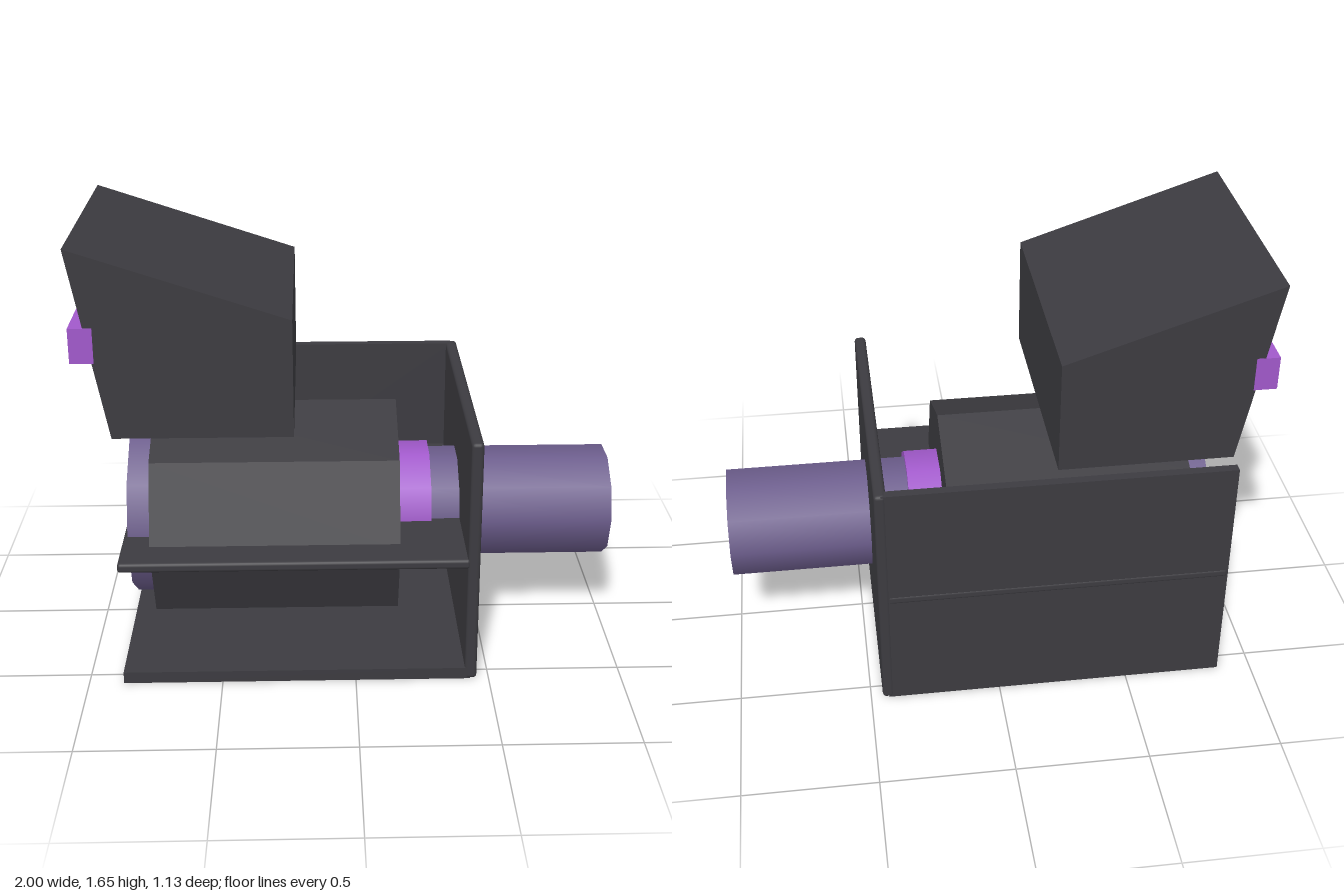
import * as THREE from 'three';
import { RoundedBoxGeometry } from 'three/addons/geometries/RoundedBoxGeometry.js';

const material = (name, color) => {
  const m = new THREE.MeshStandardMaterial({ color });
  m.name = name;
  return m;
};

export function createModel() {
  const group = new THREE.Group();
  const dark = material('charcoal', 0x3c3b40);
  const lavender = material('lavender', 0x6c5d8c);
  const purple = material('purple', 0xa159cb);
  const axisY = 0.48;

  const add = (name, geometry, mat) => {
    const mesh = new THREE.Mesh(geometry, mat);
    mesh.name = name;
    group.add(mesh);
    return mesh;
  };

  // Box given by its lower and upper corners, optionally with softened edges
  const box = (name, [x0, y0, z0], [x1, y1, z1], mat, radius = 0) => {
    const size = [x1 - x0, y1 - y0, z1 - z0];
    const geometry = radius
      ? new RoundedBoxGeometry(...size, 2, radius)
      : new THREE.BoxGeometry(...size);
    geometry.translate((x0 + x1) / 2, (y0 + y1) / 2, (z0 + z1) / 2);
    return add(name, geometry, mat);
  };

  // Cylinder lying along x on the common axis
  const barrel = (name, x0, x1, radius, sides, mat, flat = false) => {
    let geometry = new THREE.CylinderGeometry(radius, radius, x1 - x0, sides);
    geometry.rotateZ(-Math.PI / 2);
    geometry.translate((x0 + x1) / 2, axisY, 0);
    if (flat) {
      geometry = geometry.toNonIndexed();
      geometry.computeVertexNormals();
    }
    return add(name, geometry, mat);
  };

  // Housing: floor, back wall, end wall and middle shelf
  box('floor', [-0.87, 0, -0.565], [0.43, 0.045, 0.562], dark);
  box('backWall', [-0.87, 0.005, -0.565], [0.43, 0.958, -0.53], dark);
  box('endWall', [0.41, 0, -0.567], [0.455, 0.96, 0.565], dark, 0.014);
  box('middleShelf', [-0.87, 0.463, -0.567], [0.42, 0.5, 0.565], dark, 0.012);

  // Octagonal drum with end disc, collar and drive shaft
  barrel('drum', -0.765, 0.17, 0.435, 8, dark, true);
  barrel('endDisc', -0.855, -0.765, 0.347, 10, lavender);
  barrel('collar', 0.17, 0.3, 0.24, 10, purple);
  barrel('shaft', 0.3, 1, 0.217, 10, lavender);

  // Slanted hood above the drum
  const profile = new THREE.Shape([
    [-0.87, 0.958], [-0.22, 0.958], [-0.22, 1.395], [-1, 1.655],
  ].map(([x, y]) => new THREE.Vector2(x, y)));
  const hood = new THREE.ExtrudeGeometry(profile, { depth: 0.956, bevelEnabled: false });
  hood.translate(0, 0, -0.48);
  add('hood', hood, dark);

  // Bar across the outer face of the hood
  box('hoodBar', [-1, 1.243, -0.482], [-0.915, 1.372, 0.478], purple);

  return group;
}
